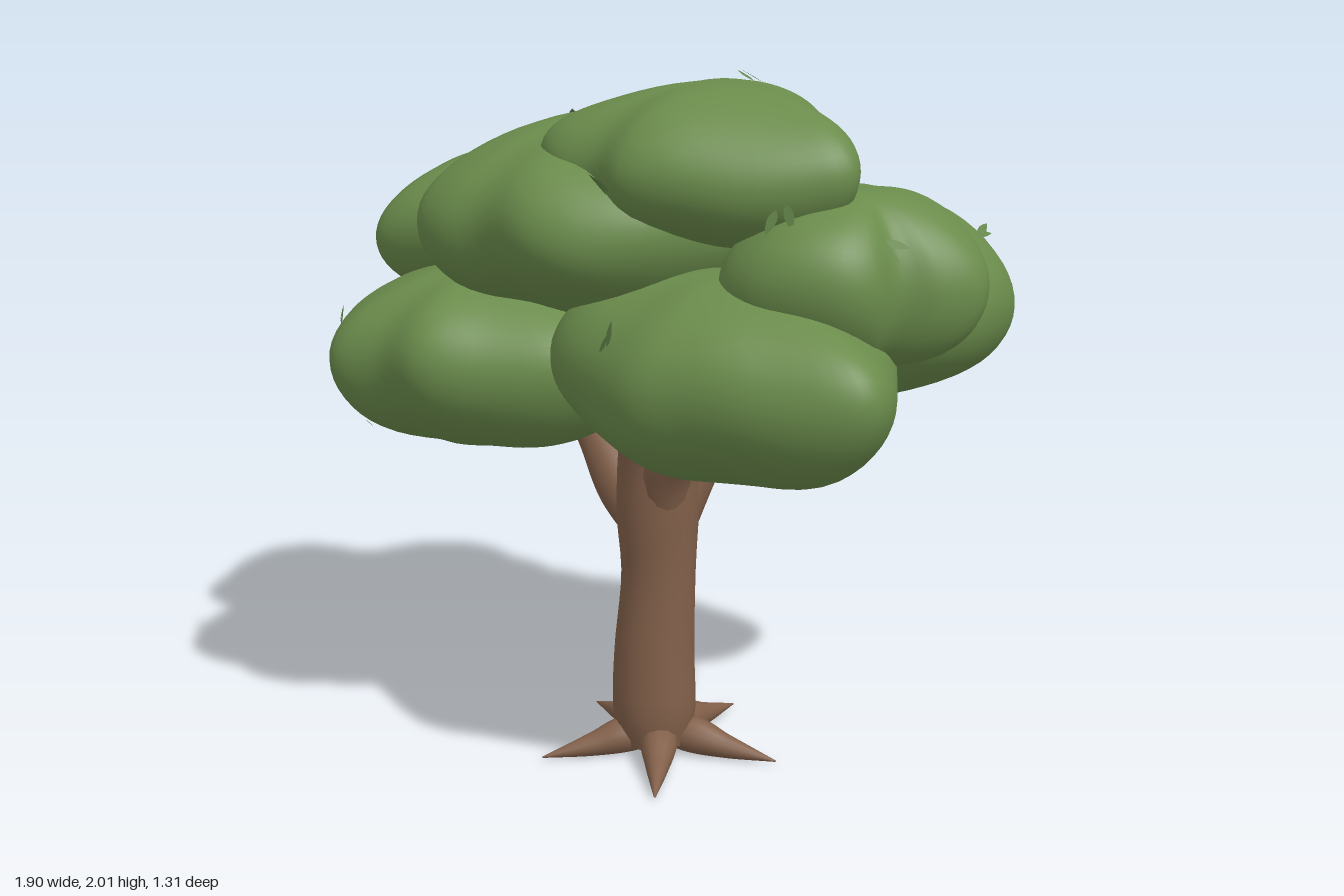
import * as THREE from 'three';
import { mergeVertices } from 'three/addons/utils/BufferGeometryUtils.js';

const foliage = new THREE.MeshStandardMaterial({ color: 0x6b8c4c });
const bark = new THREE.MeshStandardMaterial({ color: 0x82604a });
const leafGreen = new THREE.MeshStandardMaterial({ color: 0x64854a, side: THREE.DoubleSide });
foliage.name = 'foliage green';
bark.name = 'bark brown';
leafGreen.name = 'leaf green';

// Weld shared corners so the shading is smooth everywhere
function smooth(geometry) {
  geometry.deleteAttribute('uv');
  geometry.deleteAttribute('normal');
  const welded = mergeVertices(geometry, 1e-5);
  welded.computeVertexNormals();
  return welded;
}

// Tapered round limb along a curve; each point is [x, y, z, radius]
function limb(name, points, sides = 16) {
  const steps = 24;
  const path = new THREE.CatmullRomCurve3(points.map(p => new THREE.Vector3(p[0], p[1], p[2])));
  const radius = new THREE.CatmullRomCurve3(points.map((p, i) => new THREE.Vector3(p[3], i, 0)));
  const geometry = new THREE.TubeGeometry(path, steps, 1, sides);
  const pos = geometry.attributes.position;
  const v = new THREE.Vector3();
  for (let i = 0; i <= steps; i++) {
    const u = i / steps;
    const centre = path.getPointAt(u);
    const r = Math.max(radius.getPoint(path.getUtoTmapping(u)).x, 0.001);
    for (let j = 0; j <= sides; j++) {
      const k = i * (sides + 1) + j;
      v.fromBufferAttribute(pos, k).sub(centre).multiplyScalar(r).add(centre);
      pos.setXYZ(k, v.x, Math.max(v.y, 0), v.z);
    }
  }
  const mesh = new THREE.Mesh(smooth(geometry), bark);
  mesh.name = name;
  return mesh;
}

// Rounded clump: a plan outline of [x, z] points, domed from its widest height up to top and down to bottom
function clump({ bottom, widest, top, outline }, seed) {
  const geometry = new THREE.SphereGeometry(1, 64, 32);
  const { position: pos, uv } = geometry.attributes;
  const curve = new THREE.CatmullRomCurve3(outline.map(([x, z]) => new THREE.Vector3(x, 0, z)), true);
  const xs = outline.map(p => p[0]), zs = outline.map(p => p[1]);
  const cx = (Math.min(...xs) + Math.max(...xs)) / 2;
  const cz = (Math.min(...zs) + Math.max(...zs)) / 2;
  for (let i = 0; i < pos.count; i++) {
    const edge = curve.getPoint(uv.getX(i) % 1);
    const h = pos.getY(i);
    const ring = Math.sqrt(Math.max(0, 1 - h * h));
    const x = cx + (edge.x - cx) * ring;
    const z = cz + (edge.z - cz) * ring;
    const bump = 0.012 * ring * (Math.sin(13 * x + seed) + Math.sin(12 * z + 5 * x + seed * 2));
    pos.setXYZ(i, x, widest + h * (h > 0 ? top - widest : widest - bottom) + bump, z);
  }
  const mesh = new THREE.Mesh(smooth(geometry), foliage);
  mesh.name = 'foliageClump';
  return mesh;
}

// Small pointed leaf, base at the origin, lying in the xy plane
function leafGeometry() {
  const s = new THREE.Shape();
  s.moveTo(0, 0);
  s.quadraticCurveTo(0.026, 0.025, 0, 0.07);
  s.quadraticCurveTo(-0.026, 0.025, 0, 0);
  return new THREE.ShapeGeometry(s, 5);
}

// Pair of leaves on the clump surface nearest to a given point
function leafTuft(mesh, point, leaf, turn) {
  const { position, normal } = mesh.geometry.attributes;
  const target = new THREE.Vector3(...point);
  const v = new THREE.Vector3();
  let best = 0, nearest = Infinity;
  for (let i = 0; i < position.count; i++) {
    const d = v.fromBufferAttribute(position, i).distanceToSquared(target);
    if (d < nearest) { nearest = d; best = i; }
  }
  const tuft = new THREE.Group();
  tuft.name = 'leafTuft';
  tuft.position.fromBufferAttribute(position, best);
  tuft.quaternion.setFromUnitVectors(new THREE.Vector3(0, 0, 1), v.fromBufferAttribute(normal, best));
  for (const k of [0, 1]) {
    const blade = new THREE.Mesh(leaf, leafGreen);
    blade.name = 'leaf';
    blade.position.set(k * 0.025, k * 0.015, 0.003);
    blade.rotation.set(0.35, 0, turn + k * 0.7, 'ZYX');
    tuft.add(blade);
  }
  return tuft;
}

// Crown clumps; outlines run from the right side round the front
const crown = {
  frontRight: { bottom: 0.94, widest: 1.21, top: 1.46, outline: [
    [-0.95, 0.05], [-0.88, 0.28], [-0.84, 0.5], [-0.76, 0.61], [-0.58, 0.62], [-0.42, 0.65],
    [-0.25, 0.56], [-0.05, 0.42], [0.02, 0.2], [-0.15, -0.05], [-0.5, -0.12], [-0.83, -0.1]] },
  frontLeft: { bottom: 0.98, widest: 1.26, top: 1.53, outline: [
    [-0.18, 0.25], [-0.12, 0.45], [0.06, 0.56], [0.26, 0.65], [0.42, 0.63], [0.62, 0.58],
    [0.84, 0.49], [0.88, 0.41], [0.8, 0.2], [0.6, -0.08], [0.25, -0.08], [-0.05, 0.05]] },
  midRight: { bottom: 1.3, widest: 1.51, top: 1.72, outline: [
    [-0.94, -0.02], [-0.9, 0.15], [-0.84, 0.31], [-0.6, 0.34], [-0.4, 0.3], [-0.28, 0.12],
    [-0.3, -0.1], [-0.45, -0.28], [-0.66, -0.32], [-0.85, -0.29], [-0.94, -0.19]] },
  middle: { bottom: 1.34, widest: 1.61, top: 1.88, outline: [
    [-0.6, 0.03], [-0.57, 0.28], [-0.55, 0.47], [-0.42, 0.55], [-0.27, 0.55], [-0.1, 0.59], [0.05, 0.55],
    [0.22, 0.4], [0.29, 0.15], [0.25, -0.05], [0.1, -0.24], [-0.02, -0.36], [-0.25, -0.34], [-0.42, -0.32],
    [-0.56, -0.3], [-0.63, -0.2]] },
  top: { bottom: 1.56, widest: 1.79, top: 2, outline: [
    [-0.17, 0.05], [-0.21, 0.35], [-0.12, 0.43], [0.02, 0.44], [0.15, 0.5], [0.38, 0.43], [0.58, 0.31],
    [0.67, 0.21], [0.6, 0.08], [0.43, -0.08], [0.36, -0.22], [0.2, -0.25], [0, -0.27], [-0.13, -0.18]] },
  midLeft: { bottom: 1.28, widest: 1.52, top: 1.75, outline: [
    [0.28, 0.1], [0.35, 0.35], [0.5, 0.43], [0.7, 0.38], [0.78, 0.3], [0.8, 0.2], [0.89, 0.13],
    [0.95, 0.02], [0.88, -0.12], [0.74, -0.23], [0.6, -0.2], [0.45, -0.23], [0.32, -0.12]] },
  backLeft: { bottom: 1.06, widest: 1.36, top: 1.67, outline: [
    [-0.14, -0.35], [-0.1, -0.1], [0.1, 0.03], [0.4, 0.03], [0.63, -0.1], [0.75, -0.2], [0.82, -0.34],
    [0.77, -0.55], [0.6, -0.59], [0.45, -0.62], [0.33, -0.66], [0.17, -0.6], [0, -0.58], [-0.06, -0.52]] },
  backRight: { bottom: 1.05, widest: 1.34, top: 1.64, outline: [
    [-0.76, -0.24], [-0.68, -0.03], [-0.4, 0.06], [-0.1, 0], [0, -0.2], [-0.08, -0.5], [-0.12, -0.6],
    [-0.3, -0.63], [-0.43, -0.66], [-0.55, -0.6], [-0.66, -0.44]] },
};

export function createModel() {
  const tree = new THREE.Group();
  tree.name = 'tree';

  // Trunk and branches
  tree.add(limb('trunk', [
    [-0.035, 0.03, 0.07, 0.1], [-0.04, 0.12, 0.07, 0.122], [-0.04, 0.3, 0.07, 0.118],
    [-0.028, 0.55, 0.065, 0.108], [-0.03, 0.75, 0.065, 0.12], [-0.02, 0.92, 0.07, 0.118],
    [-0.005, 1.08, 0.08, 0.115], [0, 1.3, 0.08, 0.04],
  ], 24));
  const branches = [
    [[-0.05, 0.68, 0.07, 0.07], [-0.14, 0.8, 0.065, 0.085], [-0.25, 0.93, 0.04, 0.066], [-0.4, 1.08, 0.01, 0.04]],
    [[-0.01, 0.7, 0.04, 0.08], [0.03, 0.86, -0.02, 0.08], [0.09, 1.01, -0.09, 0.064], [0.15, 1.18, -0.15, 0.05]],
    [[0, 0.76, 0.09, 0.07], [0.04, 0.9, 0.12, 0.075], [0.12, 0.99, 0.16, 0.055], [0.25, 1.08, 0.22, 0.03]],
  ];
  for (const b of branches) tree.add(limb('branch', b));

  // Five pointed roots
  for (let i = 0; i < 5; i++) {
    const a = (59 + i * 72) * Math.PI / 180;
    const at = (r, y, radius) => [-0.025 + r * Math.cos(a), y, 0.06 + r * Math.sin(a), radius];
    tree.add(limb('root', [at(0, 0.06, 0.04), at(0.1, 0.055, 0.054), at(0.2, 0.034, 0.036), at(0.36, 0.01, 0.002)], 12));
  }

  // Crown
  const clumps = {};
  Object.entries(crown).forEach(([key, form], i) => {
    clumps[key] = clump(form, i + 1);
    tree.add(clumps[key]);
  });

  // Leaf tufts
  const leaf = leafGeometry();
  const tufts = [
    ['top', 0.07, 1.72, 0.48], ['top', 0.2, 1.98, -0.07], ['top', 0.56, 1.7, 0.37],
    ['midLeft', 0.75, 1.65, 0.24], ['backLeft', 0.71, 1.57, -0.41], ['backLeft', -0.06, 1.5, -0.48],
    ['backLeft', 0.4, 1.19, -0.55], ['middle', -0.08, 1.68, -0.34], ['middle', -0.46, 1.78, -0.12],
    ['frontLeft', 0.13, 1.36, 0.6], ['frontRight', -0.86, 1.27, 0.48], ['frontRight', -0.7, 1.06, 0.5],
    ['backRight', -0.78, 1.25, -0.35], ['backRight', -0.5, 1.1, -0.5],
  ];
  tufts.forEach(([key, ...p], i) => tree.add(leafTuft(clumps[key], p, leaf, i * 1.3)));

  return tree;
}
